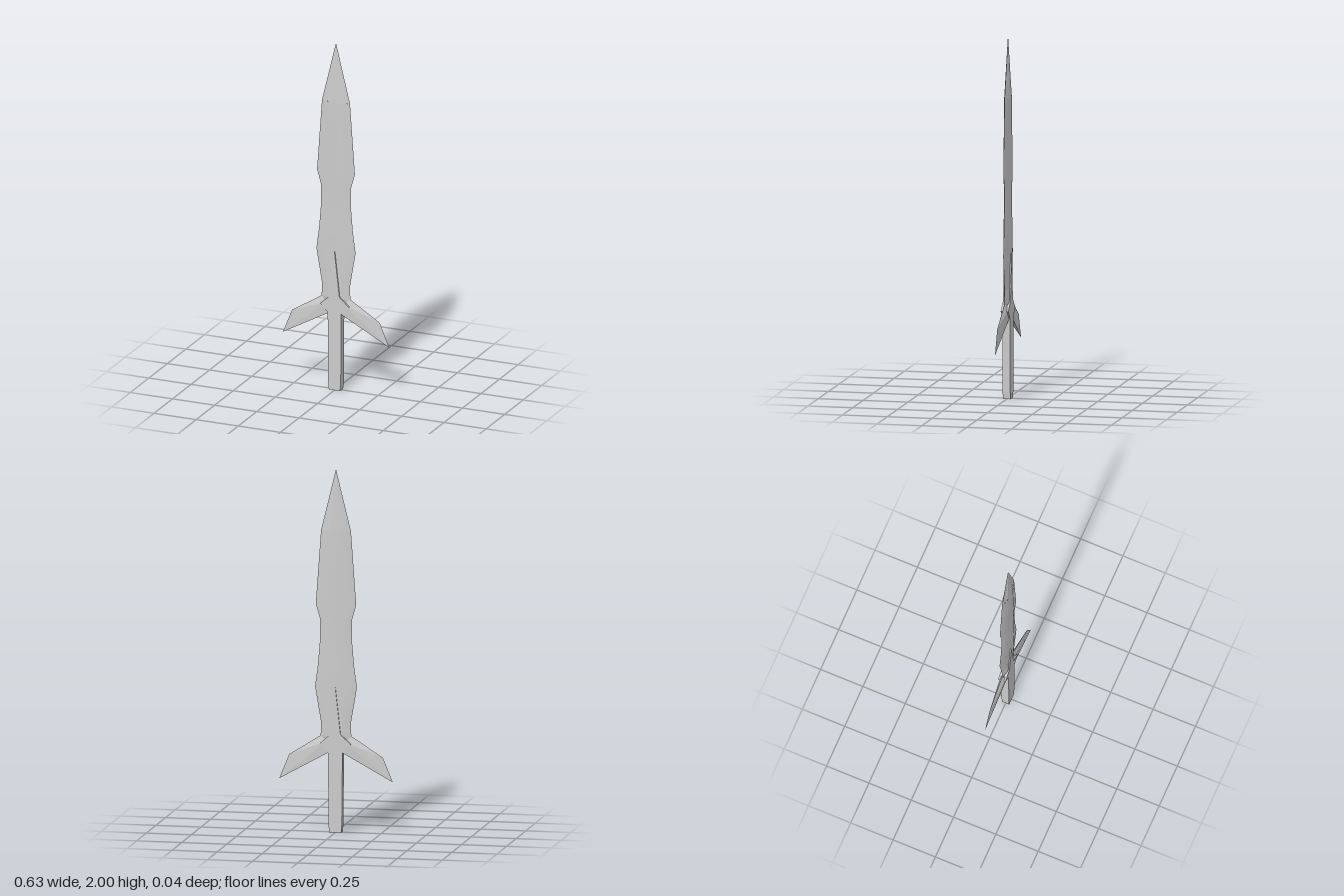
import * as THREE from 'three';

const material = (flat) => new THREE.MeshStandardMaterial({
  color: 0xcccccc, flatShading: flat, side: THREE.DoubleSide,
});

// Adds a front surface and the same surface turned to the back.
function bothFaces(name, geometry, flat) {
  const part = new THREE.Group();
  part.name = name;
  ['Front', 'Back'].forEach((face, i) => {
    const mesh = new THREE.Mesh(geometry, material(flat));
    mesh.name = name + face;
    mesh.rotation.y = i * Math.PI;
    part.add(mesh);
  });
  return part;
}

// Bevelled sheet lofted through rows of [y, half width, half flat, depth].
function bevelledSheet(rows) {
  const positions = [], index = [];
  rows.forEach(([y, w, f, d], i) => {
    positions.push(-w, y, 0, -f, y, d, f, y, d, w, y, 0);
    if (i === 0) return;
    for (let j = 0; j < 3; j++) {
      const a = (i - 1) * 4 + j, b = a + 4;
      index.push(a, a + 1, b + 1, a, b + 1, b);
    }
  });
  const geometry = new THREE.BufferGeometry();
  geometry.setAttribute('position', new THREE.Float32BufferAttribute(positions, 3));
  geometry.setIndex(index);
  geometry.computeVertexNormals();
  return geometry;
}

// Front half of both swept guard arms: top bevel, broad face, blunt underside.
function guardArms() {
  const top = [0.085, 0.53, 0], ridge = [0.05, 0.5, 0.016], low = [0.038, 0.44, 0.014];
  const under = [0.038, 0.44, 0], shoulder = [0.26, 0.42, 0], tip = [0.315, 0.285, 0];
  const faces = [
    [top, ridge, shoulder], [ridge, low, tip], [ridge, tip, shoulder], [low, under, tip],
  ];
  const positions = [];
  for (const side of [1, -1]) {
    for (const face of faces) {
      const corners = side > 0 ? face : [...face].reverse();
      for (const [x, y, z] of corners) positions.push(side * x, y, z);
    }
  }
  const geometry = new THREE.BufferGeometry();
  geometry.setAttribute('position', new THREE.Float32BufferAttribute(positions, 3));
  geometry.computeVertexNormals();
  return geometry;
}

// Grip with star-shaped collar and a long spike lying over the blade.
function gripPlate() {
  const right = [
    [0.033, 0], [0.037, 0.04], [0.04, 0.445], [0.086, 0.49], [0.029, 0.54],
  ];
  const left = right.map(([x, y]) => [-x, y]).reverse();
  const outline = [...right, [0, 0.8], ...left].map(([x, y]) => new THREE.Vector2(x, y));
  const geometry = new THREE.ExtrudeGeometry(new THREE.Shape(outline), {
    depth: 0.042, bevelEnabled: false,
  });
  geometry.translate(0, 0, -0.021);
  return geometry;
}

export function createModel() {
  const model = new THREE.Group();
  model.name = 'dagger';
  const d = 0.014;

  // Waisted blade with bevelled edges
  model.add(bothFaces('blade', bevelledSheet([
    [0.605, 0.083, 0.04, d], [0.8, 0.116, 0.05, d], [0.92, 0.1, 0.045, d],
    [1.04, 0.09, 0.04, d], [1.17, 0.088, 0.04, d], [1.255, 0.112, 0.048, d],
    [1.66, 0.083, 0.035, d],
  ]), false));

  // Tapered point
  model.add(bothFaces('bladeTip', bevelledSheet([
    [1.66, 0.083, 0.03, d], [2, 0, 0, 0],
  ]), true));

  // Plain section between blade and guard
  model.add(bothFaces('bladeBase', bevelledSheet([
    [0.44, 0.04, 0.03, d], [0.53, 0.085, 0.04, d], [0.605, 0.083, 0.04, d],
  ]), true));

  model.add(bothFaces('guardArms', guardArms(), true));

  const grip = new THREE.Mesh(gripPlate(), material(true));
  grip.name = 'grip';
  model.add(grip);

  return model;
}
